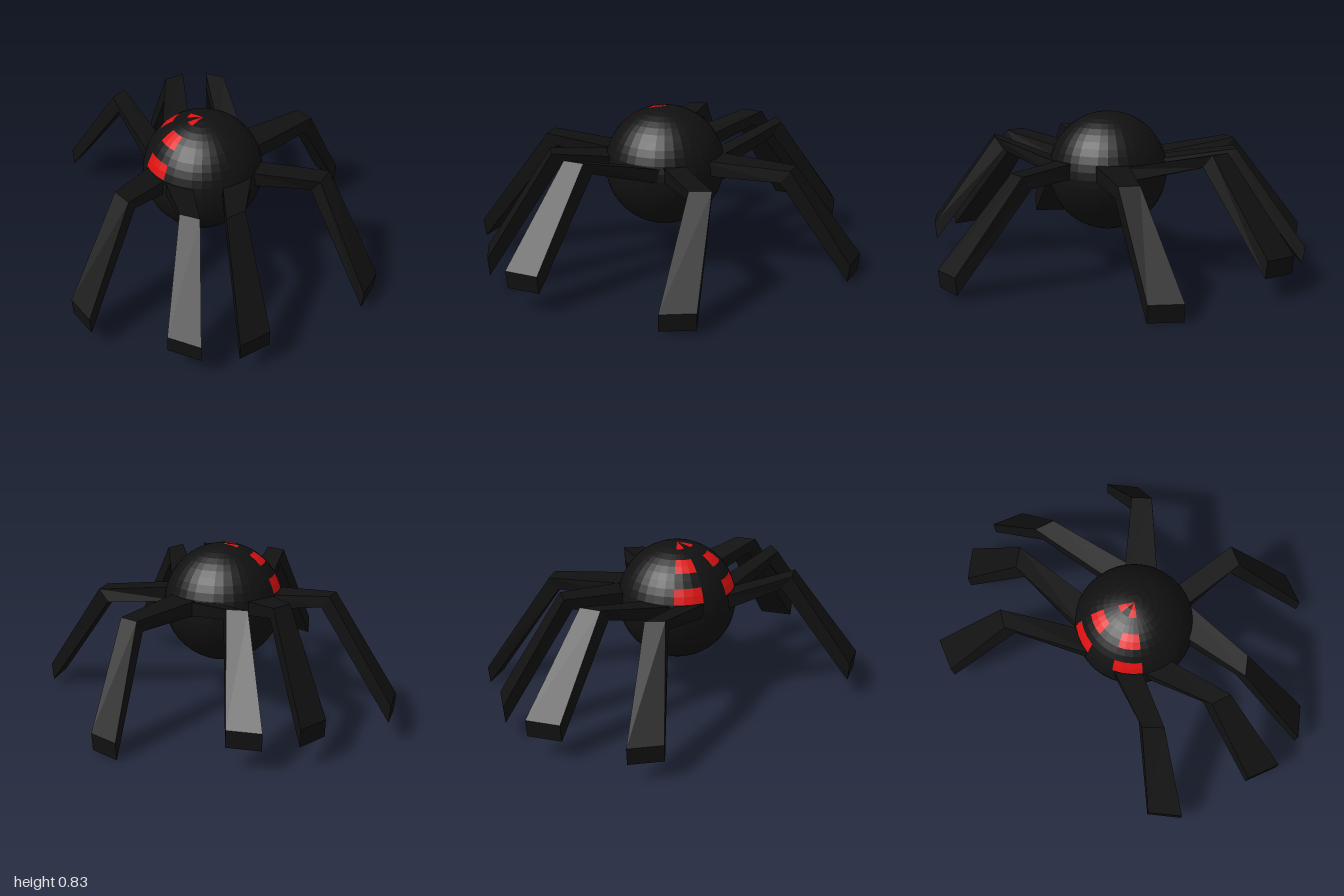
import * as THREE from 'three';
import { mergeGeometries } from 'three/addons/utils/BufferGeometryUtils.js';

const black = new THREE.MeshStandardMaterial({ color: 0x111111, flatShading: true });
const red = new THREE.MeshStandardMaterial({ color: 0xdd1111, flatShading: true });

const RADIUS = 0.31, CENTER = [0.04, 0.525, 0.03], COLUMNS = 12, RINGS = 12;

// Body: a faceted ball made cell by cell, so single facets can be red
function makeBody() {
  const dark = [], marked = [];
  const du = (Math.PI * 2) / COLUMNS, dv = Math.PI / RINGS;
  for (let c = 0; c < COLUMNS; c++) {
    for (let r = 0; r < RINGS; r++) {
      const cell = new THREE.SphereGeometry(RADIUS, 1, 1, c * du, du, r * dv, dv);
      const isRed = (c === 0 || c === 2) && (r === 0 || r === 2 || r === 4);
      (isRed ? marked : dark).push(cell);
    }
  }
  const body = new THREE.Group();
  body.name = 'body';
  const shell = new THREE.Mesh(mergeGeometries(dark), black);
  shell.name = 'bodyShell';
  const marks = new THREE.Mesh(mergeGeometries(marked), red);
  marks.name = 'redMarkings';
  body.add(shell, marks);
  body.position.set(...CENTER);
  return body;
}

// Leg: four-cornered sections at hip, knee and foot, joined into a bent bar.
// Each section is [left x, left z, right x, right z], looking outward.
function makeLeg({ hip, knee, foot, kneeTop, footY }) {
  const hipIn = hip.map((v, i) => knee[i] + (v - knee[i]) * 1.25);
  const dx = (foot[0] + foot[2] - hip[0] - hip[2]) / 2;
  const dz = (foot[1] + foot[3] - hip[1] - hip[3]) / 2;
  const len = Math.hypot(dx, dz);
  const section = ([lx, lz, rx, rz], top, bottom, inset) => {
    const ix = (dx / len) * inset, iz = (dz / len) * inset;
    return [
      [lx, top, lz], [rx, top, rz],
      [rx - ix, bottom, rz - iz], [lx - ix, bottom, lz - iz],
    ];
  };
  const hipTop = 0.6 - (kneeTop - 0.6) * 0.25;
  const s = [
    section(hipIn, hipTop, hipTop - 0.08, 0),
    section(knee, kneeTop, kneeTop - 0.065, 0.05),
    section(foot, footY + 0.09, footY, 0.01),
  ];
  const pos = [];
  const quad = (a, b, c, d) => pos.push(...a, ...b, ...c, ...a, ...c, ...d);
  for (let k = 0; k < 2; k++) {
    for (let i = 0; i < 4; i++) {
      const j = (i + 1) % 4;
      quad(s[k][i], s[k][j], s[k + 1][j], s[k + 1][i]);
    }
  }
  quad(...s[2]);
  quad(...[...s[0]].reverse());
  const geo = new THREE.BufferGeometry();
  geo.setAttribute('position', new THREE.Float32BufferAttribute(pos, 3));
  geo.computeVertexNormals();
  return new THREE.Mesh(geo, black);
}

const LEGS = {
  backLeg: { hip: [0.04, -0.28, 0.2, -0.25], knee: [0.13, -0.66, 0.235, -0.64], foot: [0.04, -1, 0.21, -0.955], kneeTop: 0.585, footY: 0 },
  leftBackLeg: { hip: [0.31, -0.13, 0.36, -0.03], knee: [0.605, -0.3, 0.63, -0.19], foot: [0.95, -0.285, 0.995, -0.11], kneeTop: 0.59, footY: 0.02 },
  leftMiddleLeg: { hip: [0.36, 0.03, 0.31, 0.19], knee: [0.57, 0.335, 0.54, 0.44], foot: [0.87, 0.5, 0.825, 0.67], kneeTop: 0.68, footY: 0.11 },
  leftFrontLeg: { hip: [0.2, 0.29, 0.05, 0.33], knee: [0.45, 0.525, 0.35, 0.56], foot: [0.695, 0.8, 0.525, 0.85], kneeTop: 0.68, footY: 0.11 },
  frontLeg: { hip: [0.04, 0.33, -0.1, 0.3], knee: [0.1, 0.645, -0.01, 0.625], foot: [0.15, 0.995, -0.02, 0.95], kneeTop: 0.675, footY: 0.1 },
  rightFrontLeg: { hip: [-0.22, 0.18, -0.27, 0.03], knee: [-0.62, 0.01, -0.63, -0.09], foot: [-0.955, 0.025, -1, -0.15], kneeTop: 0.675, footY: 0.1 },
  rightMiddleLeg: { hip: [-0.27, 0, -0.2, -0.14], knee: [-0.525, -0.31, -0.49, -0.415], foot: [-0.81, -0.485, -0.765, -0.66], kneeTop: 0.68, footY: 0.11 },
  rightBackLeg: { hip: [-0.1, -0.25, 0.04, -0.29], knee: [-0.4, -0.505, -0.3, -0.54], foot: [-0.635, -0.79, -0.465, -0.835], kneeTop: 0.68, footY: 0.11 },
};

export function createModel() {
  const model = new THREE.Group();
  model.name = 'spider';
  model.add(makeBody());
  for (const [name, spec] of Object.entries(LEGS)) {
    const leg = makeLeg(spec);
    leg.name = name;
    model.add(leg);
  }
  return model;
}
